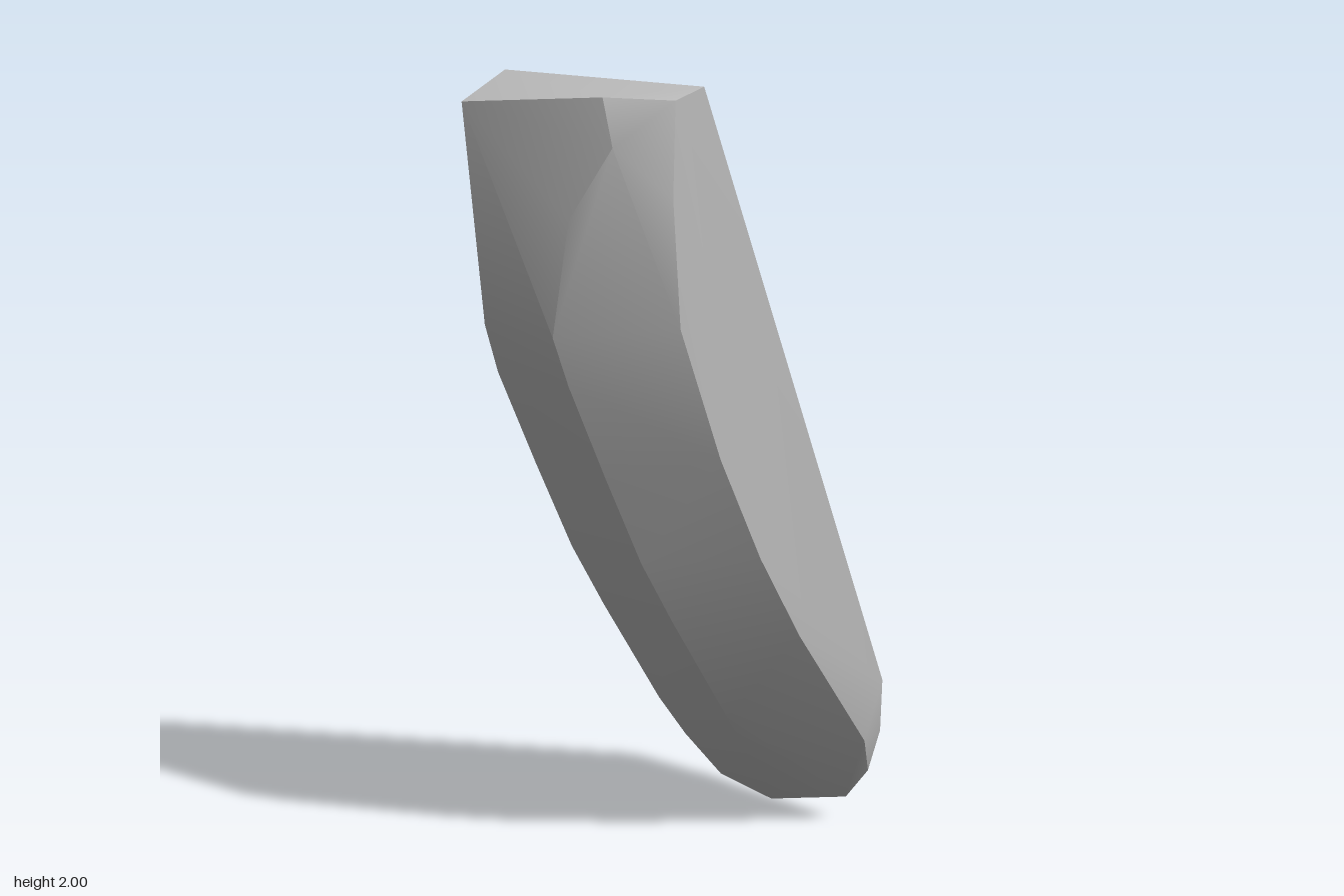
import * as THREE from 'three';
import { ConvexGeometry } from 'three/addons/geometries/ConvexGeometry.js';
import { toCreasedNormals } from 'three/addons/utils/BufferGeometryUtils.js';

// Corners of the slanted top cut
const topCut = [
  [-0.51, 1.95, -0.18], [-0.32, 2.0, -0.235], [-0.17, 1.99, 0.255],
  [-0.275, 1.97, 0.265], [-0.4, 1.98, 0.16],
];

// Flat inner side and its rounded lower tip
const innerSide = [
  [0.49, 0.42, 0.27], [0.49, 0.42, -0.25], [0.51, 0.3, -0.1],
  [0.497, 0.28, 0.26], [0.5, 0.16, 0.22], [0.497, 0.07, 0.15],
  [0.49, 0, -0.1], [0.5, 0.02, -0.23], [0.5, 0.05, -0.255],
];

// Curved outer spine: x, y, back z, front z
const spine = [
  [-0.44, 1.42, -0.19, 0.03], [-0.4, 1.3, -0.19, 0.04],
  [-0.29, 1.06, -0.18, 0.05], [-0.18, 0.83, -0.17, 0.06],
  [-0.08, 0.66, -0.16, 0.07], [0.13, 0.36, -0.17, 0.06],
  [0.24, 0.23, -0.18, 0.03], [0.4, 0.07, -0.2, -0.03],
].flatMap(([x, y, back, front]) => [[x, y, back], [x + 0.005, y, front]]);

// Front face outline, where the bevel to the spine begins
const frontFace = [
  [-0.4, 1.87, 0.19], [-0.44, 1.7, 0.09], [-0.29, 1.75, 0.272],
  [-0.27, 1.45, 0.276], [-0.14, 1.12, 0.283], [0, 0.85, 0.286],
  [0.15, 0.62, 0.283], [0.43, 0.27, 0.264],
];

// Back face outline
const backFace = [
  [-0.38, 1.9, -0.255], [-0.33, 1.4, -0.268], [-0.23, 1.25, -0.274],
  [-0.13, 0.96, -0.276], [0.05, 0.66, -0.28], [0.27, 0.34, -0.285],
  [0.45, 0.1, -0.288],
];

export function createModel() {
  const group = new THREE.Group();
  const stone = new THREE.MeshStandardMaterial({ color: 0xb8b8b8 });
  stone.name = 'stone grey';

  const points = [...topCut, ...innerSide, ...spine, ...frontFace, ...backFace]
    .map((p) => new THREE.Vector3(...p));
  // Broad faces blend softly while the main edges stay sharp
  const geometry = toCreasedNormals(new ConvexGeometry(points), THREE.MathUtils.degToRad(30));

  const shard = new THREE.Mesh(geometry, stone);
  shard.name = 'curvedShard';
  group.add(shard);
  return group;
}
